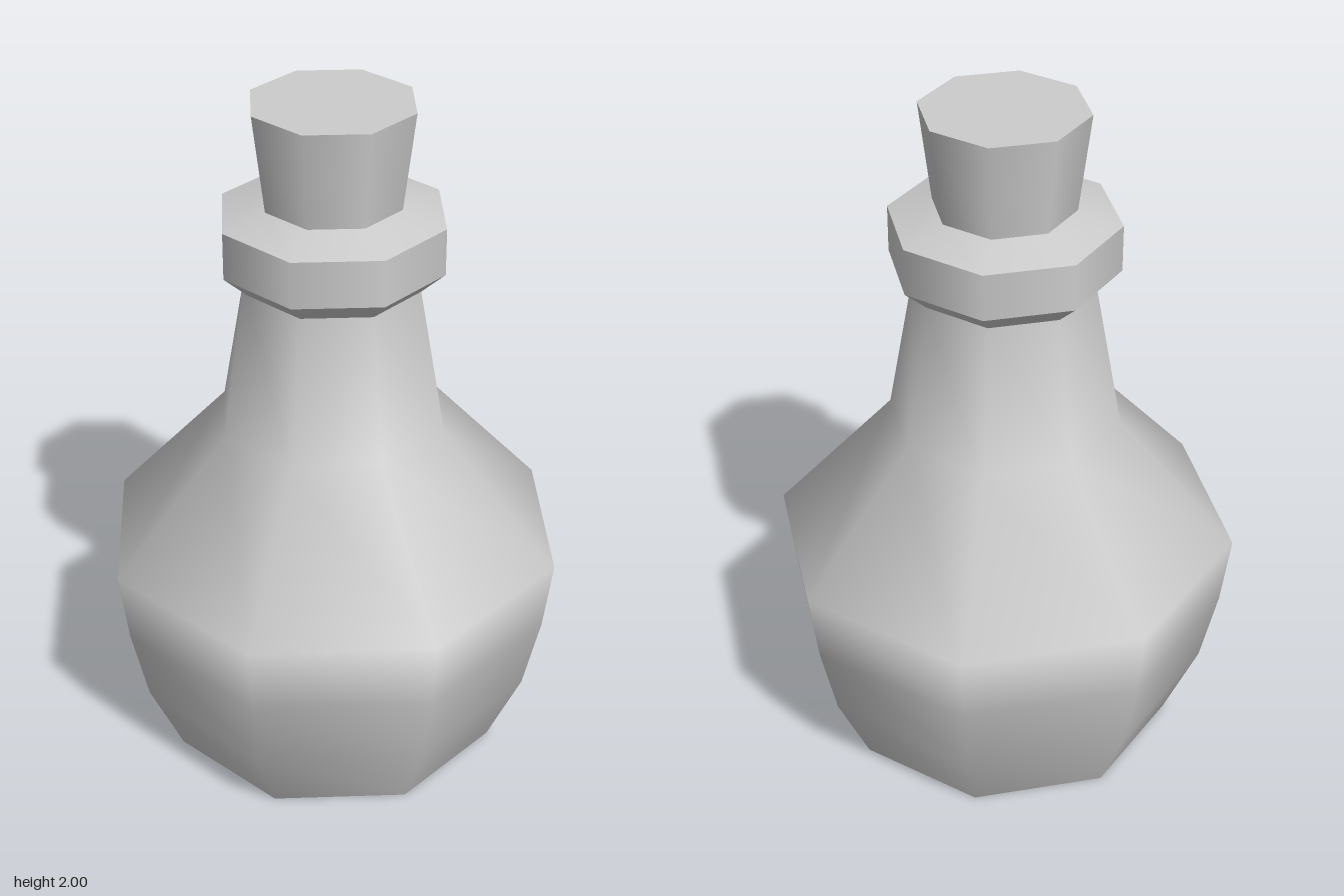
import * as THREE from 'three';
import { mergeGeometries } from 'three/addons/utils/BufferGeometryUtils.js';

const SIDES = 8;
const material = new THREE.MeshStandardMaterial({ color: 0xcccccc });

// Eight-sided turned part: each band is a smooth [radius, height] profile,
// with a hard edge wherever one band ends and the next begins.
function turned(name, bands) {
  const pieces = bands.map((band) =>
    new THREE.LatheGeometry(band.map(([r, y]) => new THREE.Vector2(r, y)), SIDES));
  const mesh = new THREE.Mesh(mergeGeometries(pieces), material);
  mesh.name = name;
  return mesh;
}

export function createModel() {
  const bottle = new THREE.Group();
  bottle.name = 'corkedBottle';

  // Flat base, rounded belly, shoulder and tapering neck
  bottle.add(turned('body', [
    [[0, 0], [0.5, 0]],
    [[0.5, 0], [0.6, 0.225], [0.65, 0.45], [0.677, 0.66], [0.335, 1.045], [0.257, 1.48]],
  ]));

  // Lip ring with bevels below and above
  bottle.add(turned('lip', [
    [[0.257, 1.48], [0.325, 1.543]],
    [[0.325, 1.543], [0.325, 1.68]],
    [[0.325, 1.68], [0.2, 1.717]],
  ]));

  // Flared stopper
  bottle.add(turned('cork', [
    [[0.2, 1.717], [0.235, 2]],
    [[0.235, 2], [0, 2]],
  ]));

  return bottle;
}
